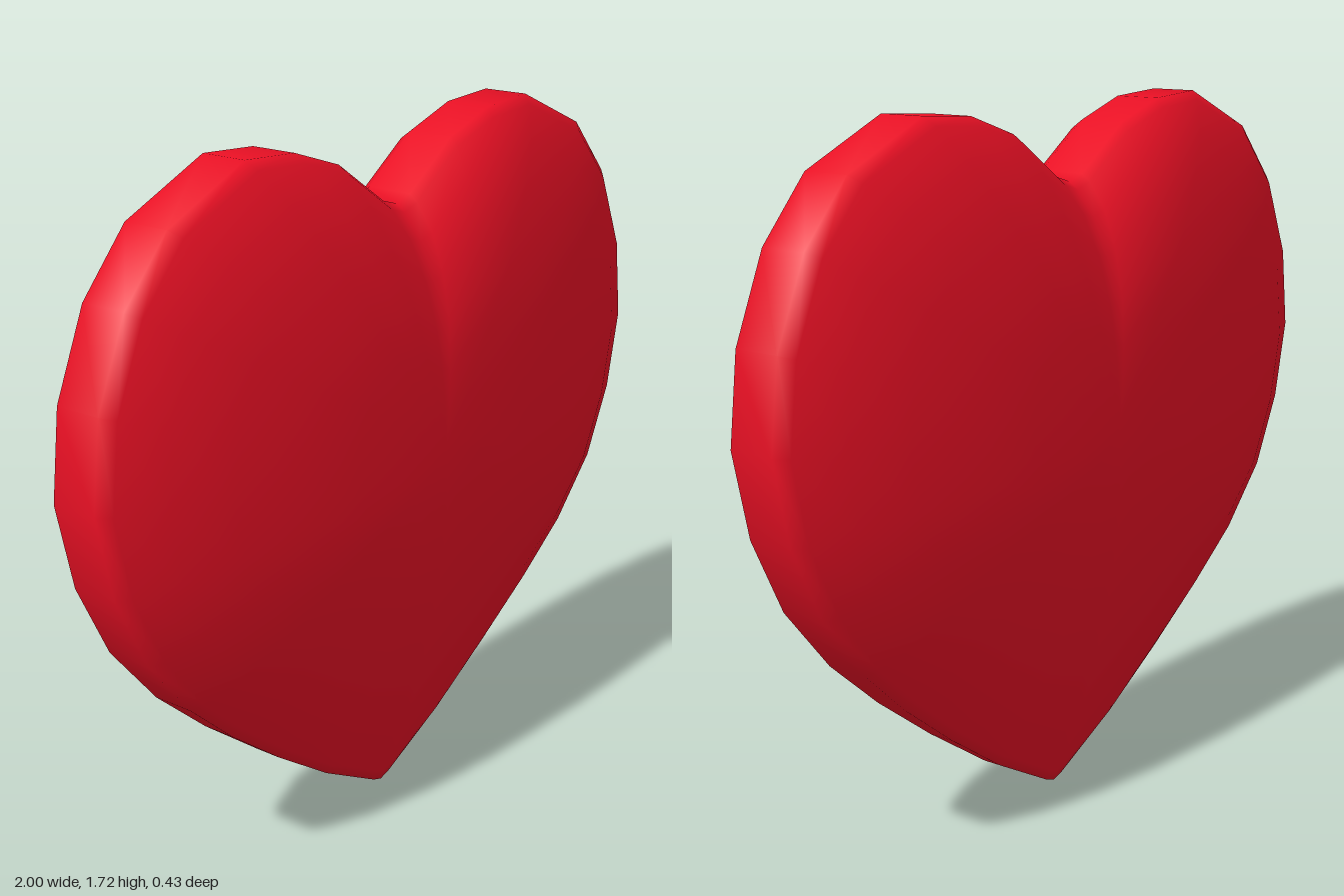
import * as THREE from 'three';

// Right half of the outline, from the cleft clockwise to the tip
const HALF = [
  [0, 1.535], [0.05, 1.55], [0.21, 1.66], [0.36, 1.71], [0.52, 1.72], [0.76, 1.615],
  [0.89, 1.47], [0.975, 1.27], [1, 1.06], [0.955, 0.855], [0.865, 0.67], [0.735, 0.51],
  [0.59, 0.38], [0.42, 0.25], [0.23, 0.12], [0.03, 0.01], [0, 0],
];
const CENTRE_Y = 0.97;
const DEPTH = 0.215;

// Rings from centre to rim: [scale, half depth at the lobes, half depth at the tip]
const RINGS = [
  [0.16, 0.215, 0.215], [0.33, 0.21, 0.2], [0.5, 0.2, 0.168], [0.7, 0.172, 0.117],
  [0.86, 0.133, 0.067], [0.97, 0.085, 0.026], [1, 0.06, 0.015],
];

function heartGeometry() {
  const mirrored = HALF.slice(1, -1).reverse().map(([x, y]) => [-x, y]);
  const outline = [...HALF, ...mirrored];
  const n = outline.length;
  const positions = [0, CENTRE_Y, DEPTH];
  const indices = [];

  // Front rings run outwards, back rings run inwards
  const addRing = ([scale, lobe, tip], side) => {
    for (const [x, y] of outline) {
      const tipness = Math.max(0, 1 - y / 0.6);
      const z = THREE.MathUtils.lerp(lobe, tip, tipness);
      positions.push(x * scale, CENTRE_Y + (y - CENTRE_Y) * scale, z * side);
    }
  };
  RINGS.forEach((ring) => addRing(ring, 1));
  [...RINGS].reverse().forEach((ring) => addRing(ring, -1));
  positions.push(0, CENTRE_Y, -DEPTH);

  const ringCount = RINGS.length * 2;
  const last = 1 + ringCount * n;
  for (let j = 0; j < n; j++) {
    const k = (j + 1) % n;
    indices.push(0, 1 + k, 1 + j);
    for (let r = 0; r < ringCount - 1; r++) {
      const a = 1 + r * n + j, b = 1 + r * n + k;
      indices.push(a, b, b + n, a, b + n, a + n);
    }
    indices.push(last, last - n + j, last - n + k);
  }

  const geometry = new THREE.BufferGeometry();
  geometry.setAttribute('position', new THREE.Float32BufferAttribute(positions, 3));
  geometry.setIndex(indices);
  geometry.computeVertexNormals();
  return geometry;
}

export function createModel() {
  const group = new THREE.Group();
  group.name = 'heart';
  // Puffed heart body
  const body = new THREE.Mesh(heartGeometry(), new THREE.MeshStandardMaterial({ color: 0xe81024 }));
  body.name = 'heartBody';
  group.add(body);
  return group;
}
